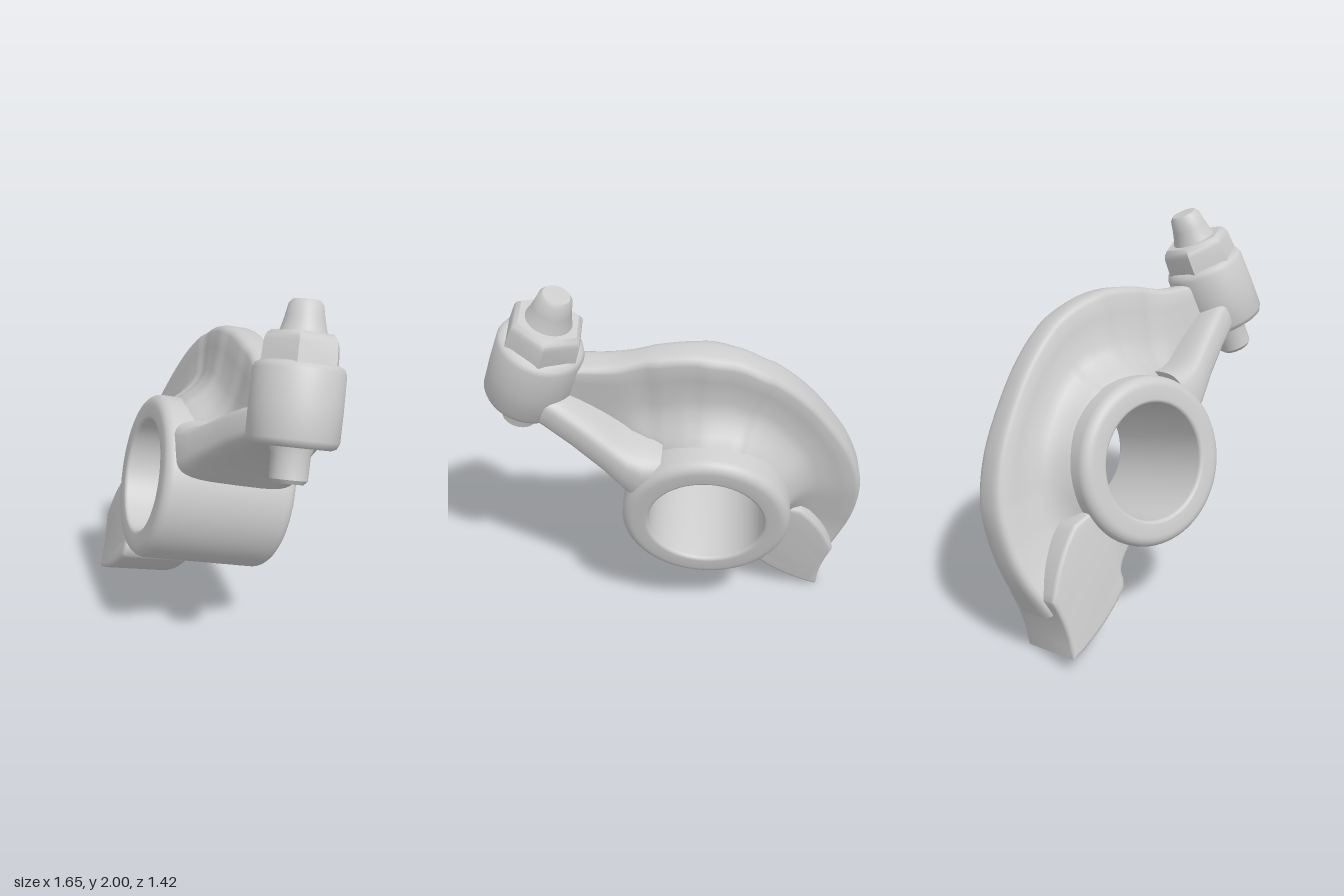
import * as THREE from 'three';
import { toCreasedNormals } from 'three/addons/utils/BufferGeometryUtils.js';

const grey = new THREE.MeshStandardMaterial({ color: 0xcccccc });

function part(name, geometry) {
  const mesh = new THREE.Mesh(geometry, grey);
  mesh.name = name;
  return mesh;
}

// Creased normals, worked out at a larger scale so that fine bevels stay distinct
function crease(g, angle) {
  return toCreasedNormals(g.scale(20, 20, 20), angle).scale(0.05, 0.05, 0.05);
}

// Skin a list of equal-length closed rings, with fan caps at both ends
function loft(rings) {
  const n = rings[0].length, pos = [], idx = [];
  rings.forEach(r => r.forEach(p => pos.push(p.x, p.y, p.z)));
  for (let i = 0; i < rings.length - 1; i++) {
    for (let j = 0; j < n; j++) {
      const a = i * n + j, b = i * n + (j + 1) % n;
      idx.push(a, b, a + n, b, b + n, a + n);
    }
  }
  const last = (rings.length - 1) * n;
  for (let j = 1; j < n - 1; j++) {
    idx.push(0, j + 1, j, last, last + j, last + j + 1);
  }
  const g = new THREE.BufferGeometry();
  g.setAttribute('position', new THREE.Float32BufferAttribute(pos, 3));
  g.setIndex(idx);
  return crease(g, 0.8);
}

function lathe(points, segments = 64) {
  return crease(new THREE.LatheGeometry(points.map(p => new THREE.Vector2(p[0], p[1])), segments), 0.75);
}

// Bored hub, its axis along local z, with rounded rims
function hub() {
  const H = 0.357, R = 0.428, r = 0.293, f = 0.055, pts = [];
  const corner = (cx, cy, rad, a0) => {
    for (let i = 0; i <= 6; i++) {
      const a = a0 + (i / 6) * Math.PI / 2;
      pts.push([cx + rad * Math.cos(a), cy + rad * Math.sin(a)]);
    }
  };
  corner(R - f, -H + f, f, -Math.PI / 2);
  corner(R - f, H - f, f, 0);
  corner(r + 0.02, H - 0.02, 0.02, Math.PI / 2);
  corner(r + 0.02, -H + 0.02, 0.02, Math.PI);
  pts.push(pts[0]);
  return lathe(pts, 72).rotateX(Math.PI / 2 - 0.025).rotateY(-0.035).translate(0.005, -0.01, 0);
}

// Curved blade: stations of [outer u, outer v, inner u, inner v, centre z, half thickness]
function blade() {
  const st = [
    [1.0, 0.5, 0.95, 0.3, 0, 0.08], [0.85, 0.545, 0.75, 0.26, 0, 0.08],
    [0.69, 0.605, 0.5, 0.22, 0, 0.08], [0.52, 0.71, 0.33, 0.22, 0, 0.08],
    [0.33, 0.79, 0.2, 0.31, 0, 0.085], [0.12, 0.815, 0.07, 0.36, 0, 0.085],
    [-0.07, 0.782, -0.04, 0.37, 0, 0.085], [-0.23, 0.715, -0.12, 0.35, 0.005, 0.085],
    [-0.39, 0.615, -0.2, 0.31, 0.01, 0.085], [-0.63, 0.41, -0.29, 0.23, 0.015, 0.09],
    [-0.775, 0.2, -0.35, 0.1, 0.02, 0.095], [-0.84, -0.02, -0.36, -0.03, 0.04, 0.1],
    [-0.855, -0.18, -0.35, -0.14, 0.06, 0.11], [-0.84, -0.38, -0.36, -0.2, 0.08, 0.14],
  ];
  const curve = k => new THREE.CatmullRomCurve3(st.map(s => new THREE.Vector3(s[k], s[k + 1], 0)));
  const outer = curve(0), inner = curve(2), size = curve(4), N = 78, rings = [];
  // Half section from hub to rim: [fraction outwards, thickness factor, flare]
  const side = [[0, 1, 0.17], [0.1, 1, 0.14], [0.18, 1, 0.095], [0.26, 1, 0.055], [0.36, 1, 0.02], [0.48, 1, 0],
    [0.75, 1, 0], [0.92, 1, 0], [0.96, 0.93, 0], [0.985, 0.75, 0], [1, 0.45, 0]];
  const section = [...side, ...side.slice().reverse().map(([a, b, c]) => [a, -b, -c])];
  for (let i = 0; i <= N; i++) {
    const t = i / N, o = outer.getPoint(t), p = inner.getPoint(t), s = size.getPoint(t);
    const flare = THREE.MathUtils.smoothstep(t, 0.1, 0.3) * (1 - 0.7 * THREE.MathUtils.smoothstep(t, 0.75, 1));
    rings.push(section.map(([f, k, w]) => {
      const q = p.clone().lerp(o, f);
      q.z = s.x + s.y * k + w * flare;
      return q;
    }));
  }
  return loft(rings);
}

// Wide arm tapering from hub to boss: [u, middle v, half height, half width]
function arm() {
  const st = [[0.345, 0.13, 0.17, 0.33], [0.42, 0.135, 0.14, 0.325], [0.5, 0.16, 0.115, 0.31],
    [0.6, 0.2, 0.105, 0.28], [0.78, 0.268, 0.098, 0.235], [0.93, 0.31, 0.092, 0.195], [1.04, 0.32, 0.09, 0.15]];
  const sgnPow = c => Math.sign(c) * Math.pow(Math.abs(c), 0.5);
  return loft(st.map(([u, v, h, w]) => Array.from({ length: 32 }, (_, j) => {
    const a = (j / 32) * Math.PI * 2, z = w * sgnPow(Math.sin(a));
    return new THREE.Vector3(u, v + h * sgnPow(Math.cos(a)) + 0.06 * z, z);
  })));
}

// Foot with a gently bulging contact face
function foot() {
  const s = new THREE.Shape();
  s.moveTo(-0.83, -0.585);
  s.quadraticCurveTo(-0.6, -0.56, -0.44, -0.465);
  s.lineTo(-0.425, -0.43);
  s.quadraticCurveTo(-0.43, -0.35, -0.28, -0.29);
  s.lineTo(-0.35, -0.05);
  s.lineTo(-0.52, -0.05);
  s.quadraticCurveTo(-0.68, -0.13, -0.795, -0.29);
  s.quadraticCurveTo(-0.785, -0.47, -0.83, -0.585);
  const b = 0.02;
  const g = new THREE.ExtrudeGeometry(s, {
    depth: 0.4 - 2 * b, bevelThickness: b, bevelSize: b, bevelSegments: 3, curveSegments: 12,
  });
  g.translate(0, 0, -0.12 + b);
  return crease(g, 0.7);
}

export function createModel() {
  const model = new THREE.Group();
  model.name = 'rockerArm';
  const body = new THREE.Group();
  body.name = 'tiltedBody';
  model.add(body);

  body.add(part('hub', hub()), part('blade', blade()), part('arm', arm()), part('foot', foot()));

  // Adjuster end: boss, nut and screw share one upright axis
  const adjuster = new THREE.Group();
  adjuster.name = 'adjuster';
  adjuster.position.set(1.04, 0, 0.015);
  adjuster.add(
    part('boss', lathe([[0, 0.22], [0.175, 0.22], [0.2, 0.23], [0.213, 0.255], [0.215, 0.4],
      [0.213, 0.56], [0.203, 0.585], [0.18, 0.597], [0, 0.597]])),
    part('nut', lathe([[0, 0.57], [0.197, 0.57], [0.19, 0.685], [0.182, 0.71], [0.16, 0.73], [0, 0.73]], 6)),
    part('screwTop', lathe([[0, 0.7], [0.125, 0.7], [0.105, 0.75], [0.092, 0.8], [0.08, 0.862],
      [0.065, 0.88], [0, 0.883]], 40)),
    part('screwTip', lathe([[0, 0.055], [0.07, 0.057], [0.088, 0.075], [0.09, 0.19], [0.11, 0.24], [0, 0.24]], 40)),
  );
  body.add(adjuster);

  // Tilt: local x runs towards the adjuster, local z along the bore
  const z = new THREE.Vector3(-0.73, 0.225, 0.646).normalize();
  const x = new THREE.Vector3(-0.049, 0.925, -0.377).cross(z).normalize();
  const y = z.clone().cross(x);
  body.quaternion.setFromRotationMatrix(new THREE.Matrix4().makeBasis(x, y, z));
  body.position.set(-0.07, 0.845, -0.09);
  return model;
}
